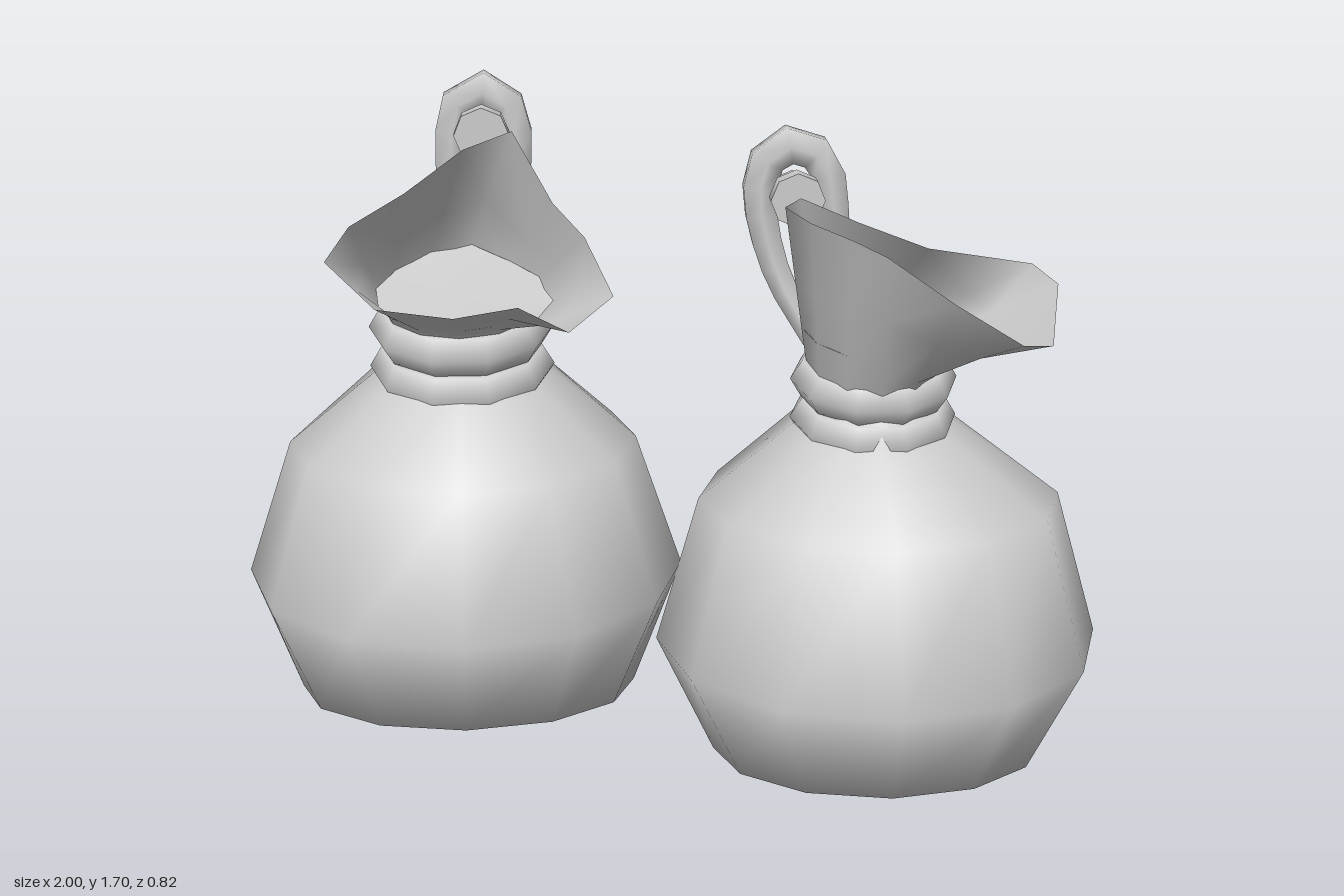
import * as THREE from 'three';
import { mergeVertices } from 'three/addons/utils/BufferGeometryUtils.js';

const SIDES = 12;
const mat = new THREE.MeshStandardMaterial({ color: 0xcccccc });
const clothMat = new THREE.MeshStandardMaterial({ color: 0xcccccc, side: THREE.DoubleSide });
const v = (x, y, z) => new THREE.Vector3(x, y, z);

// Skin a stack of closed rings, listed from bottom to top
function loft(rings) {
  const n = rings[0].length, index = [];
  for (let j = 0; j < rings.length - 1; j++)
    for (let i = 0; i < n; i++) {
      const k = (i + 1) % n, a = j * n + i, b = j * n + k;
      index.push(a, b, b + n, a, b + n, a + n);
    }
  const g = new THREE.BufferGeometry().setFromPoints(rings.flat());
  g.setIndex(index);
  const merged = mergeVertices(g);
  merged.computeVertexNormals();
  return merged;
}

// Horizontal ellipse, flattened at the back and tilted so the back is higher
function ring(x, y, z, rx, rz, back = -9, tilt = 0) {
  return Array.from({ length: SIDES }, (_, i) => {
    const a = (i / SIDES) * Math.PI * 2;
    const pz = Math.max(z + rz * Math.cos(a), back);
    return v(x + rx * Math.sin(a), y - (pz - z) * tilt, pz);
  });
}

// Tube that thins toward both ends
function taperedTube(path, radius, taper) {
  const steps = 16, sides = 6;
  const g = new THREE.TubeGeometry(path, steps, radius, sides);
  const pos = g.attributes.position, p = v(0, 0, 0);
  for (let i = 0; i < pos.count; i++) {
    const u = Math.floor(i / (sides + 1)) / steps;
    p.fromBufferAttribute(pos, i).lerp(path.getPointAt(u), taper * Math.abs(2 * u - 1));
    pos.setXYZ(i, p.x, p.y, p.z);
  }
  return g;
}

function add(group, name, geometry, material = mat) {
  const mesh = new THREE.Mesh(geometry, material);
  mesh.name = name;
  group.add(mesh);
  return mesh;
}

function makeSack({ name, x, neckX, y, neckY, dz, width, shoulder, neckR, back, rim, rope, peg }) {
  const sack = new THREE.Group();
  sack.name = name;
  const neckZ = -0.15;

  // Round body with a flat back
  add(sack, 'sackBody', loft([
    ring(x, y, -0.02, 0, 0),
    ring(x, y + 0.115, -0.02, 0.39, 0.325 + dz, back + 0.04, -0.03),
    ring(x, y + 0.39, -0.05 + dz, width, 0.465, back, 0.06),
    ring(x, y + shoulder[1], -0.06 + dz, shoulder[0], 0.345, back + 0.01, 0.06),
    ring(neckX, neckY, neckZ, neckR + 0.025, 0.18, back, 0.2),
    ring(neckX, neckY + 0.1, neckZ, neckR, 0.13, back, 0.2),
    ring(neckX, neckY + 0.1, neckZ, 0, 0),
  ]));

  // Two cords wound around the neck
  for (let i = 0; i < 2; i++) {
    const cord = add(sack, 'neckCord', new THREE.TorusGeometry(neckR, 0.054, 6, 10));
    cord.rotation.x = Math.PI / 2 + 0.2;
    cord.scale.set(1, 0.95, 1);
    cord.position.set(neckX, neckY + 0.093 * i, neckZ);
  }

  // Ruffled mouth flaring forward from the neck to an uneven rim
  const base = ring(neckX, neckY + 0.07, neckZ, neckR, 0.14, -9, 0.2);
  const throat = ring(neckX, neckY + 0.15, neckZ + 0.01, neckR + 0.02, 0.165, -9, 0.2);
  const lip = rim.map(p => v(...p));
  const between = t => lip.map((p, i) => throat[i].clone().lerp(p, t));
  add(sack, 'ruffledMouth', loft([base, throat, between(0.5), lip]), clothMat);

  // Gathered cloth closing the inside of the mouth above the cords
  const pucker = lip.map(() => v(neckX, neckY + 0.18, neckZ + 0.06));
  add(sack, 'gatheredCloth', loft([between(0.2), pucker]), clothMat);

  // Hanging loop at the back, its ends tucked toward the neck
  const path = new THREE.CatmullRomCurve3(
    rope.map(([px, py], i) => v(px, py, i % (rope.length - 1) ? -0.33 : -0.31)));
  add(sack, 'hangingLoop', taperedTube(path, 0.05, 0.4));

  // Peg holding the loop
  for (const [part, r, depth, z] of [['pegHead', 0.064, 0.05, -0.23], ['pegShaft', 0.042, 0.12, -0.3]]) {
    const m = add(sack, part, new THREE.CylinderGeometry(r, r, depth, 8));
    m.rotation.x = Math.PI / 2;
    m.position.set(peg[0], peg[1], z);
  }
  return sack;
}

export function createModel() {
  const model = new THREE.Group();
  model.name = 'hangingSacks';

  model.add(makeSack({
    name: 'leftSack', x: 0.475, neckX: 0.468, y: 0, neckY: 0.905, dz: 0,
    width: 0.525, shoulder: [0.425, 0.735], neckR: 0.143, back: -0.35,
    rim: [
      [0.45, 1.36, 0.16], [0.6, 1.26, 0.2], [0.75, 1.17, 0.22], [0.83, 1.15, 0.15],
      [0.87, 1.25, -0.02], [0.84, 1.26, -0.18], [0.58, 1.32, -0.09], [0.42, 1.38, -0.1],
      [0.29, 1.43, -0.14], [0.24, 1.44, 0], [0.29, 1.42, 0.08], [0.38, 1.39, 0.13],
    ],
    rope: [[0.34, 1.05], [0.25, 1.22], [0.21, 1.42], [0.24, 1.5], [0.3, 1.52], [0.36, 1.48], [0.38, 1.4], [0.4, 1.2], [0.41, 1.05]],
    peg: [0.29, 1.41],
  }));

  const right = makeSack({
    name: 'rightSack', x: -0.495, neckX: -0.495, y: 0.185, neckY: 1.045, dz: -0.02,
    width: 0.505, shoulder: [0.4, 0.7], neckR: 0.16, back: -0.38,
    rim: [
      [-0.5, 1.26, 0.26], [-0.36, 1.28, 0.25], [-0.25, 1.21, 0.2], [-0.15, 1.27, 0.12],
      [-0.21, 1.38, 0.02], [-0.28, 1.44, -0.07], [-0.37, 1.59, -0.15], [-0.48, 1.56, -0.09],
      [-0.61, 1.48, 0], [-0.73, 1.42, 0.06], [-0.78, 1.36, 0.14], [-0.67, 1.27, 0.21],
    ],
    rope: [[-0.49, 1.16], [-0.51, 1.35], [-0.51, 1.56], [-0.49, 1.63], [-0.44, 1.655], [-0.39, 1.63], [-0.365, 1.56], [-0.38, 1.35], [-0.42, 1.16]],
    peg: [-0.44, 1.57],
  });
  model.add(right);

  // Loose cord end sticking out behind the neck
  const from = v(-0.4, 1.17, -0.22), to = v(-0.27, 1.23, -0.38);
  const end = add(right, 'cordEnd', new THREE.CylinderGeometry(0.045, 0.03, from.distanceTo(to), 6));
  end.position.copy(from).lerp(to, 0.5);
  end.quaternion.setFromUnitVectors(v(0, 1, 0), to.clone().sub(from).normalize());
  return model;
}
